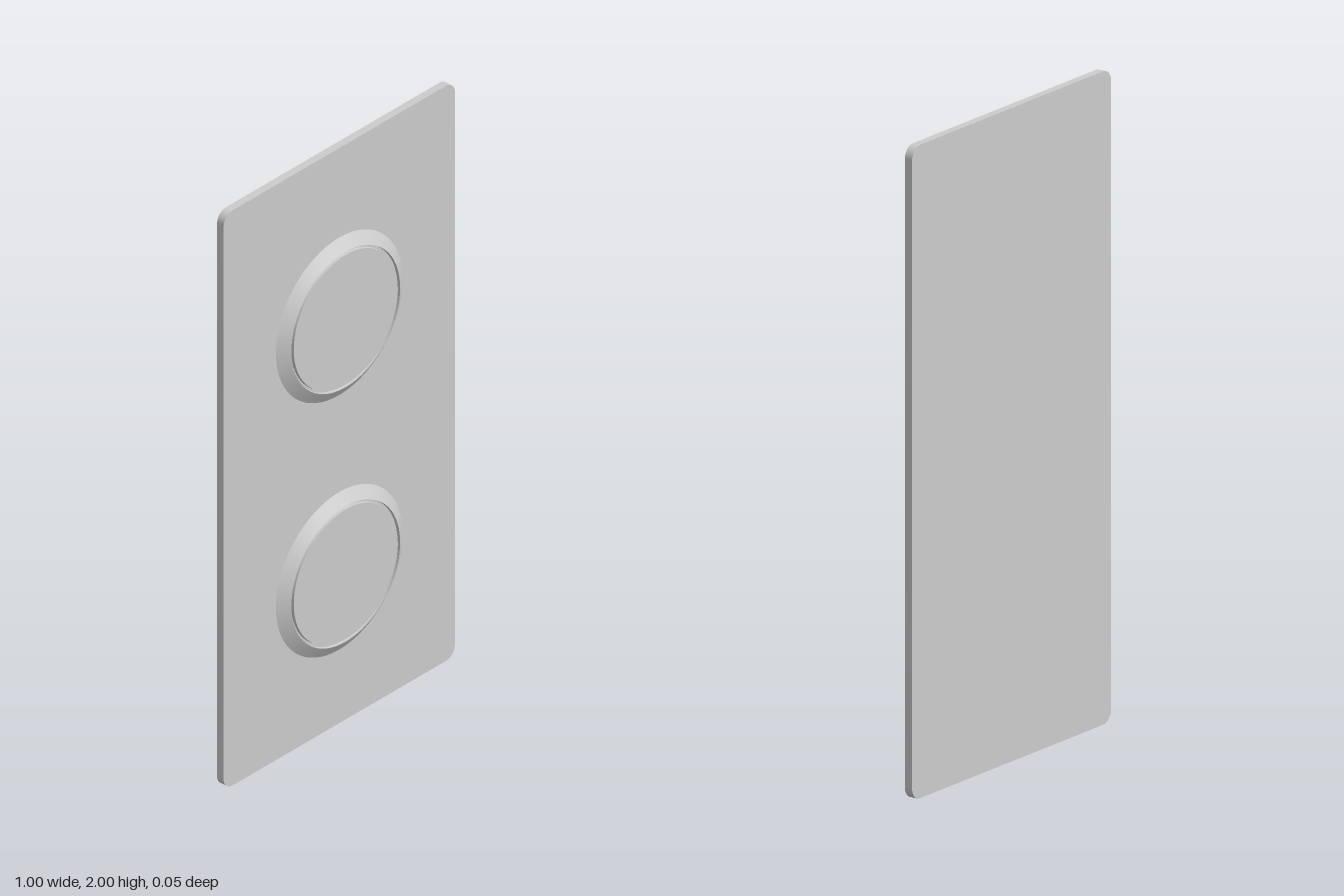
import * as THREE from 'three';

const BACK = -0.026, FACE = 0, TOP = 0.026;
const material = new THREE.MeshStandardMaterial({ color: 0xcccccc });

// Upright slab with rounded corners
function makePlate(w, h, r) {
  const x = w / 2, s = new THREE.Shape();
  s.moveTo(-x + r, 0);
  s.lineTo(x - r, 0);
  s.absarc(x - r, r, r, -Math.PI / 2, 0);
  s.lineTo(x, h - r);
  s.absarc(x - r, h - r, r, 0, Math.PI / 2);
  s.lineTo(-x + r, h);
  s.absarc(-x + r, h - r, r, Math.PI / 2, Math.PI);
  s.lineTo(-x, r);
  s.absarc(-x + r, r, r, Math.PI, Math.PI * 1.5);
  const g = new THREE.ExtrudeGeometry(s, { depth: FACE - BACK, bevelEnabled: false, curveSegments: 8 });
  g.translate(0, 0, BACK);
  const plate = new THREE.Mesh(g, material);
  plate.name = 'plate';
  return plate;
}

// Each [radius, z] profile is turned about the z axis
function turned(name, profile) {
  const g = new THREE.LatheGeometry(profile.map(([r, z]) => new THREE.Vector2(r, z)), 64);
  g.rotateX(Math.PI / 2);
  const mesh = new THREE.Mesh(g, material);
  mesh.name = name;
  return mesh;
}

// Sloped collar, narrow groove and flat round cap
function makeButton(y) {
  const button = new THREE.Group();
  button.name = 'button';
  const grooveZ = TOP - 0.01;
  button.add(
    turned('collar', [[0.274, FACE], [0.255, 0.0125], [0.238, 0.0245], [0.235, TOP]]),
    turned('grooveOuterWall', [[0.235, TOP], [0.234, grooveZ]]),
    turned('grooveFloor', [[0.234, grooveZ], [0.226, grooveZ]]),
    turned('capSide', [[0.226, grooveZ], [0.225, TOP]]),
    turned('capFace', [[0.225, TOP], [0, TOP]])
  );
  button.position.y = y;
  return button;
}

export function createModel() {
  const model = new THREE.Group();
  model.name = 'twoButtonWallPlate';
  model.add(makePlate(1, 2, 0.04));
  for (const y of [0.53, 1.415]) model.add(makeButton(y));
  return model;
}
